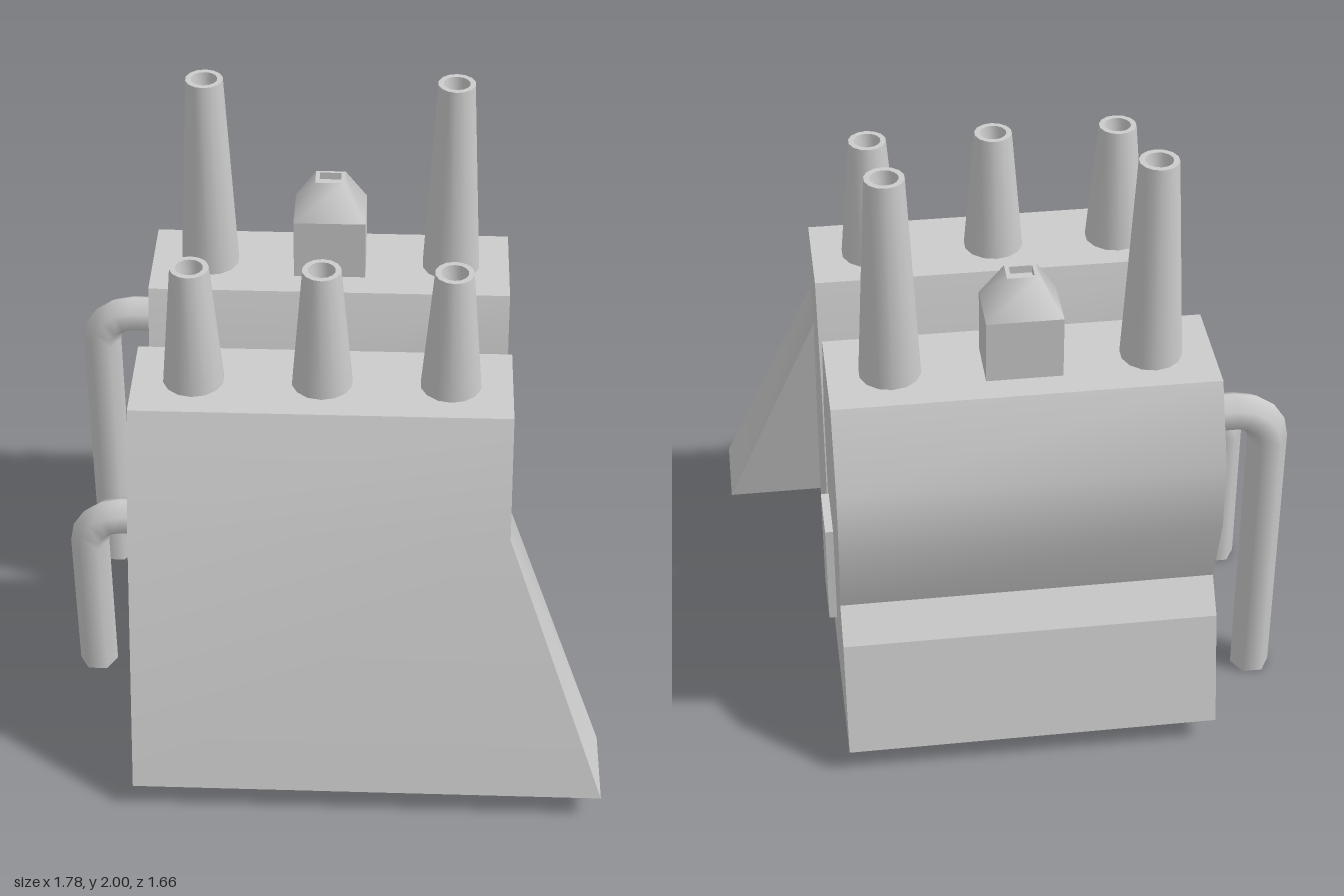
import * as THREE from 'three';
import { toCreasedNormals } from 'three/addons/utils/BufferGeometryUtils.js';

// Shells are open underneath, so both sides show
const material = new THREE.MeshStandardMaterial({ color: 0xcccccc, side: THREE.DoubleSide });
const rad = THREE.MathUtils.degToRad;
const LEFT = 0.565, RIGHT = -0.633, BASE = 0.09, ROOF = 1.31;

function add(parent, name, geometry, x = 0, y = 0, z = 0) {
  const mesh = new THREE.Mesh(geometry, material);
  mesh.name = name;
  mesh.position.set(x, y, z);
  parent.add(mesh);
  return mesh;
}

// Bottomless block: walls follow a profile of [z, y, left x], from back foot over the roof to front foot.
// The right end fans out from the hub point; leftFaces are polygons fanned from their first corner.
function block(profile, hub, leftFaces) {
  const left = profile.map(([z, y, x = LEFT]) => [x, y, z]);
  const right = profile.map(([z, y]) => [RIGHT, y, z]);
  const faces = [...leftFaces(left)];
  for (let i = 0; i + 1 < profile.length; i++) faces.push([left[i], right[i], right[i + 1], left[i + 1]]);
  faces.push(fromHub(right, hub).reverse());
  const positions = [];
  for (const f of faces) {
    // a reversed end keeps its hub last, so bring it to the front
    const p = f === faces[faces.length - 1] ? [f[f.length - 1], ...f.slice(0, -1)] : f;
    for (let i = 1; i + 1 < p.length; i++) positions.push(...p[0], ...p[i], ...p[i + 1]);
  }
  const geo = new THREE.BufferGeometry();
  geo.setAttribute('position', new THREE.Float32BufferAttribute(positions, 3));
  return toCreasedNormals(geo, rad(26.8));
}

const fromHub = (points, hub) => [...points.slice(hub), ...points.slice(0, hub)];

// Hollow-topped tapered chimney with a shallow flue
function chimney(height) {
  const points = [
    [0.097, 0], [0.061, height], [0.043, height], [0.036, height - 0.06], [0, height - 0.06],
  ].map(([r, y]) => new THREE.Vector2(r, y));
  return toCreasedNormals(new THREE.LatheGeometry(points, 14), rad(35));
}

// Open four-sided tapered wall; sizes are [width, depth] scaled by the top and bottom ratios
function fourSided(top, bottom, height) {
  const h = Math.SQRT1_2;
  return new THREE.CylinderGeometry(h * top, h * bottom, height, 4, 1, true)
    .rotateY(Math.PI / 4).scale(0.238, 1, 0.18).translate(0, height / 2, 0);
}

// Square roof vent: box, tapered roof and recessed top
function roofVent() {
  const group = new THREE.Group();
  add(group, 'ventBody', toCreasedNormals(fourSided(1, 1, 0.208), rad(30)));
  add(group, 'ventRoof', fourSided(0.41, 1, 0.125), 0, 0.208);
  const rim = [[0.41, 0.333], [0.3, 0.333], [0.3, 0.308], [0, 0.308]]
    .map(([r, y]) => new THREE.Vector2(r * Math.SQRT1_2, y));
  const rimGeo = new THREE.LatheGeometry(rim, 4).rotateY(Math.PI / 4).scale(0.238, 1, 0.18);
  add(group, 'ventRim', toCreasedNormals(rimGeo, rad(30)));
  return group;
}

// Six-sided pipe leaving the right wall and bending down to the ground
function pipe(y) {
  const x = -0.828, r = 0.065, bend = 0.11, group = new THREE.Group();
  const straight = (length) => new THREE.CylinderGeometry(r, r, length, 6, 1, true).rotateY(Math.PI / 2);
  const run = RIGHT - x - bend;
  add(group, 'pipeRun', straight(run).rotateZ(Math.PI / 2), RIGHT - run / 2, y);
  add(group, 'pipeElbow', new THREE.TorusGeometry(bend, r, 6, 4, Math.PI / 2).rotateZ(Math.PI / 2),
    x + bend, y - bend);
  add(group, 'pipeDrop', straight(y - bend), x, (y - bend) / 2);
  return group;
}

export function createModel() {
  const model = new THREE.Group();

  // Front block, its front wall widening into a sloping buttress on the left
  const notch = [LEFT, 0.94, 0.38], toe = [0.89, BASE, 0.55], heel = [LEFT, BASE, 0.55];
  add(model, 'frontBlock', block([
    [-0.03, BASE], [-0.03, 0.96], [0.07, ROOF], [0.411, ROOF], [0.574, 0.96], [0.828, BASE, 0.89],
  ], 0, (p) => [
    [notch, heel, ...p.slice(0, 5)],
    [p[4], p[5], toe, notch],
    [notch, toe, heel],
  ]));

  // Back block with a pinched rear wall
  add(model, 'backBlock', block([
    [-0.828, BASE], [-0.743, 0.468], [-0.658, 0.568], [-0.74, 0.838], [-0.74, 1.064],
    [-0.621, ROOF], [-0.26, ROOF], [-0.14, 0.96], [-0.14, BASE],
  ], 2, (p) => [fromHub(p, 2)]));

  // Chimneys: three short in front, two tall behind
  for (const x of [-0.44, -0.035, 0.37]) add(model, 'shortChimney', chimney(0.42), x, ROOF, 0.237);
  for (const x of [-0.44, 0.37]) add(model, 'tallChimney', chimney(0.69), x, ROOF, -0.445);

  // Door panel on the left wall of the back block
  add(model, 'doorPanel', new THREE.BoxGeometry(0.026, 0.365, 0.2), LEFT + 0.013, 0.468, -0.29);

  // Vent and side pipes
  const place = (name, part, x, y, z) => {
    part.name = name;
    part.position.set(x, y, z);
    model.add(part);
  };
  place('roofVent', roofVent(), -0.035, ROOF, -0.443);
  place('frontPipe', pipe(0.65), 0, 0, 0.123);
  place('backPipe', pipe(1.07), 0, 0, -0.46);
  return model;
}
